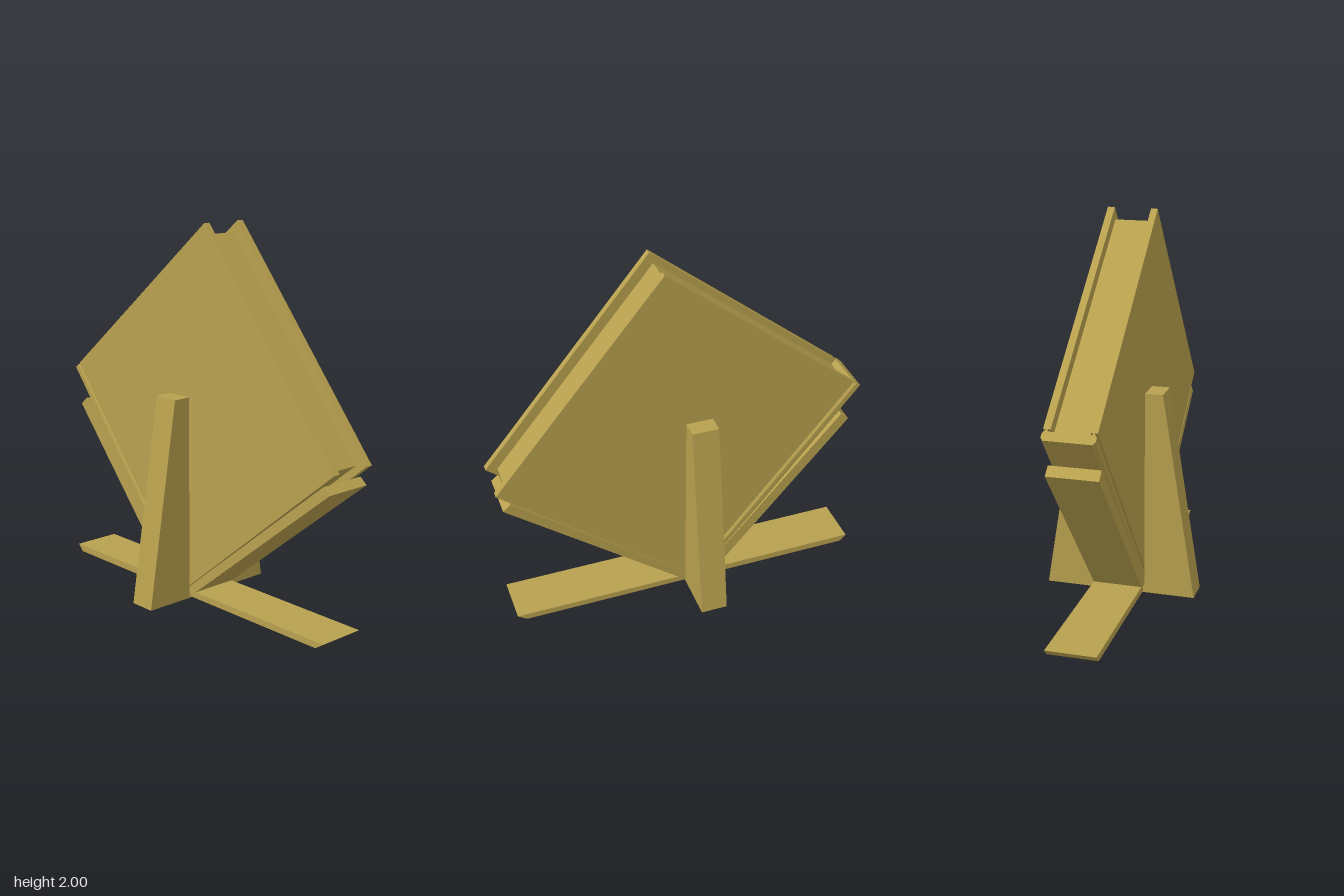
import * as THREE from 'three';

export function createModel() {
  const group = new THREE.Group();
  group.name = 'bookOnStand';
  const wood = new THREE.MeshStandardMaterial({ color: 0xb8a04e, flatShading: true });

  const shapeOf = (pts) => new THREE.Shape(pts.map(([x, y]) => new THREE.Vector2(x, y)));
  const extrude = (pts, depth) =>
    new THREE.ExtrudeGeometry(shapeOf(pts), { depth, bevelEnabled: false });
  const add = (name, geometry) => {
    const mesh = new THREE.Mesh(geometry, wood);
    mesh.name = name;
    group.add(mesh);
  };
  // Side outline in [z, y], given thickness between x0 and x1
  const slab = (name, pts, x0, x1) =>
    add(name, extrude(pts, x1 - x0).rotateY(-Math.PI / 2).translate(x1, 0, 0));

  const X0 = -0.125, X1 = 0.137, MID = 0.006;

  // Tilted book axes in the zy plane: a runs down the fore edge, b towards the spine
  const A = [0.633, -0.774], B = [-0.774, -0.633], TOP = [0.1, 2.0];
  const H = 1.421, W = 1.357;
  const at = (a, b) => [TOP[0] + a * A[0] + b * B[0], TOP[1] + a * A[1] + b * B[1]];
  const bookRect = (a0, a1, b0, b1) => [at(a0, b0), at(a1, b0), at(a1, b1), at(a0, b1)];

  // Book covers and page block
  slab('rightCover', bookRect(0, H, 0, W), X0, -0.09);
  slab('leftCover', bookRect(0, H, 0, W), 0.1, X1);
  slab('pages', bookRect(0.034, H - 0.034, 0.053, W), -0.09, 0.092);

  // Spine with chamfered edges and a hinge groove beside the covers
  const half = [[0.107, 1.37], [0.107, 1.357], [0.114, 1.357], [0.131, 1.38], [0.131, 1.405], [0.118, 1.421]];
  const profile = [...half, ...half.map(([x, b]) => [-x, b]).reverse()];
  const corner = at(H, 0);
  const frame = new THREE.Matrix4().makeBasis(
    new THREE.Vector3(1, 0, 0),
    new THREE.Vector3(0, B[1], B[0]),
    new THREE.Vector3(0, -A[1], -A[0])
  ).setPosition(MID, corner[1], corner[0]);
  add('spine', extrude(profile, H).applyMatrix4(frame));

  // Sloping rests under the book
  slab('frontRest', [[0.97, 0.795], [0.93, 0.83], [-0.04, 0.045], [-0.085, 0.01], [-0.01, 0.01]], X0, X1);
  slab('backRest', [[-0.895, 0.945], [-0.94, 0.905], [-0.19, 0.04], [-0.16, 0.01], [-0.085, 0.01]], X0, X1);

  // Base strip with slanted ends
  slab('base', [[0.95, 0.042], [0.9, 0.008], [-0.965, 0.008], [-1.0, 0.045], [-0.16, 0.045], [-0.01, 0.042]], X0, X1);

  // Tapered side uprights
  for (const [name, s] of [['leftUpright', 1], ['rightUpright', -1]]) {
    const outline = [[0.131, 0], [0.4, 0], [0.225, 1.1], [0.131, 1.1]].map(([x, y]) => [MID - 0.004 + s * (x + 0.002), y]);
    add(name, extrude(outline, 0.145).translate(0, 0, -0.157));
  }
  // Foot joining the uprights
  add('crossFoot', new THREE.BoxGeometry(0.27, 0.03, 0.145).translate(MID, 0.015, -0.0845));

  return group;
}
